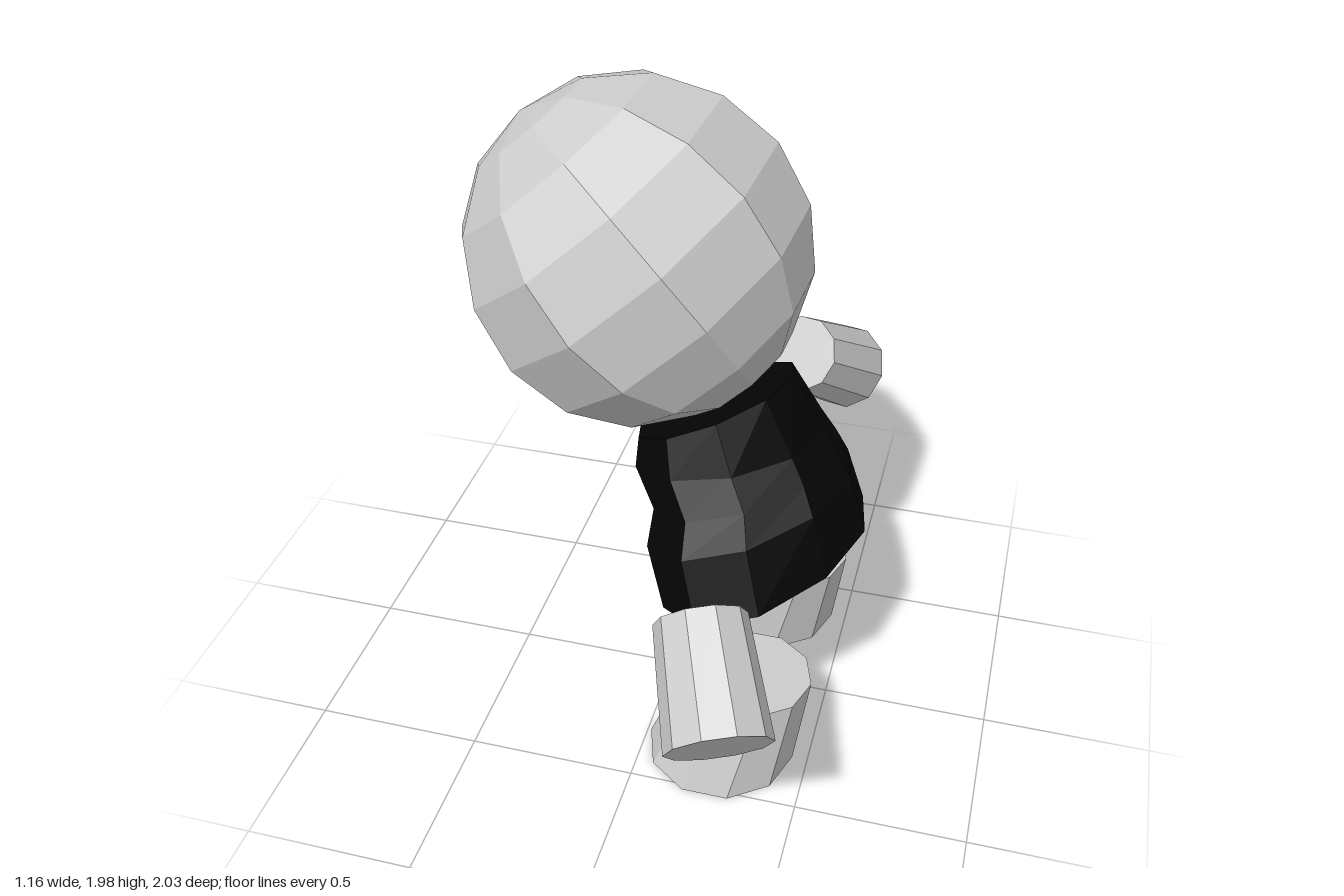
import * as THREE from 'three';

const SIDES = 10;
const rad = THREE.MathUtils.degToRad;

function material(color) {
  return new THREE.MeshStandardMaterial({ color, flatShading: true });
}

// Capped loft through rings listed from bottom to top.
// Each ring has a centre c and two half axes: u (towards +x) and v (towards +z).
function loft(rings) {
  const pos = [], index = [];
  for (const { c, u, v } of rings) {
    for (let j = 0; j < SIDES; j++) {
      const t = (j / SIDES) * Math.PI * 2;
      for (let k = 0; k < 3; k++) pos.push(c[k] + u[k] * Math.cos(t) + v[k] * Math.sin(t));
    }
  }
  const last = rings.length - 1, low = rings.length * SIDES, high = low + 1;
  pos.push(...rings[0].c, ...rings[last].c);
  for (let j = 0; j < SIDES; j++) {
    const n = (j + 1) % SIDES;
    for (let i = 0; i < last; i++) {
      const a = i * SIDES + j, b = i * SIDES + n;
      index.push(a, a + SIDES, b, b, a + SIDES, b + SIDES);
    }
    index.push(low, j, n, high, last * SIDES + n, last * SIDES + j);
  }
  const geo = new THREE.BufferGeometry();
  geo.setAttribute('position', new THREE.Float32BufferAttribute(pos, 3));
  geo.setIndex(index);
  const flat = geo.toNonIndexed();
  flat.computeVertexNormals();
  return flat;
}

export function createModel() {
  const model = new THREE.Group();
  const grey = material(0xcccccc);
  const black = material(0x050505);

  const add = (name, geo, mat) => {
    const mesh = new THREE.Mesh(geo, mat);
    mesh.name = name;
    model.add(mesh);
    return mesh;
  };

  // Head: coarse ball with its axis tilted towards -x
  const headGeo = new THREE.SphereGeometry(0.488, SIDES, 8);
  headGeo.rotateY(rad(12)).rotateZ(rad(41));
  add('head', headGeo, grey).position.set(-0.105, 1.5, 0);

  // Torso: leaning loft; each row is the -x end, the +x end, z centre, z half width
  const sections = [
    [-0.015, 0.36, 0.575, 0.63, -0.04, 0.45],
    [-0.08, 0.55, 0.52, 0.8, -0.06, 0.4],
    [-0.07, 0.66, 0.475, 0.86, -0.085, 0.355],
    [-0.14, 0.78, 0.43, 0.92, -0.105, 0.315],
    [-0.13, 0.86, 0.33, 1.1, -0.1, 0.255],
  ];
  add('torso', loft(sections.map(([x0, y0, x1, y1, z, half]) => {
    const h = half / 0.951;
    return {
      c: [(x0 + x1) / 2, (y0 + y1) / 2, z],
      u: [(x1 - x0) / 2, (y1 - y0) / 2, 0],
      v: [-0.04 * h, 0.2 * h, h],
    };
  })), black);

  for (const side of [1, -1]) {
    const label = side > 0 ? 'front' : 'back';

    // Arms: short flared stubs floating beside the torso
    const inner = new THREE.Vector3(0.25, 0.82, 0.67 * side);
    const outer = new THREE.Vector3(0.365, 0.635, 0.925 * side);
    const axis = inner.clone().sub(outer);
    const arm = add(label + 'Arm',
      new THREE.CylinderGeometry(0.125, 0.143, axis.length(), SIDES), grey);
    arm.position.copy(inner).add(outer).multiplyScalar(0.5);
    arm.quaternion.setFromUnitVectors(new THREE.Vector3(0, 1, 0), axis.normalize());

    // Legs: sheared cones with level ends
    const ring = (x, y, z, r) => ({ c: [x, y, z * side - 0.025], u: [r, 0, 0], v: [0, 0, r] });
    add(label + 'Leg', loft([
      ring(0.232, 0, 0.335, 0.222),
      ring(0.31, 0.28, 0.3, 0.182),
    ]), grey);
  }
  return model;
}
